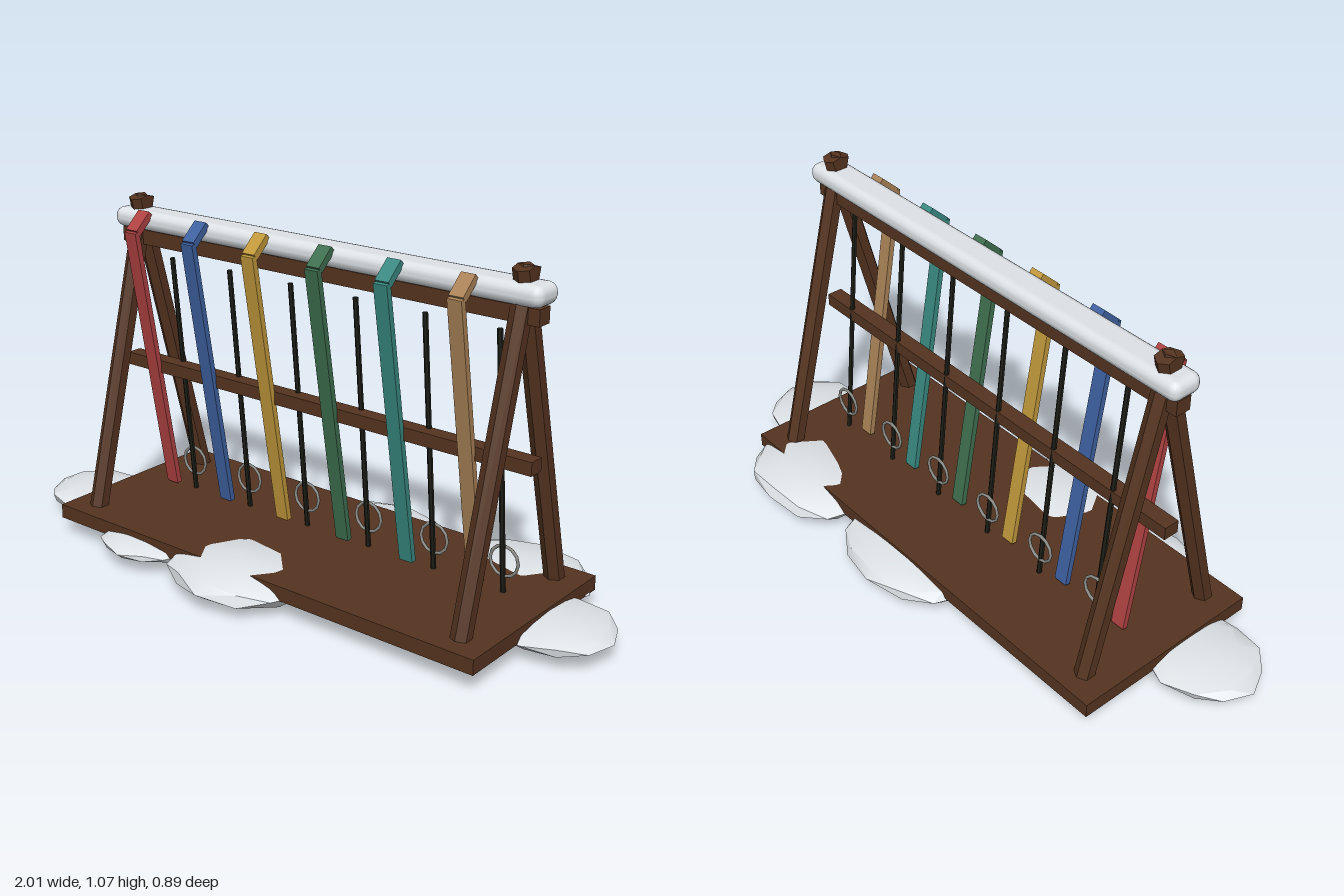
import * as THREE from 'three';
import { toCreasedNormals } from 'three/addons/utils/BufferGeometryUtils.js';
import { RoundedBoxGeometry } from 'three/addons/geometries/RoundedBoxGeometry.js';

const material = (name, color) => {
  const m = new THREE.MeshStandardMaterial({ color });
  m.name = name;
  return m;
};

export function createModel() {
  const group = new THREE.Group();
  const wood = material('dark wood', 0x553420);
  const snow = material('snow', 0xe6ebef);
  const poleBlack = material('pole black', 0x1e1e18);
  const basketGrey = material('basket grey', 0x8c8c88);
  const skiColours = [
    material('red', 0xb04242), material('blue', 0x3f62a2), material('yellow', 0xc39a3c),
    material('green', 0x3f7050), material('teal', 0x3a8a82), material('tan', 0xab8358),
  ];

  const add = (name, geometry, mat, x = 0, y = 0, z = 0) => {
    const mesh = new THREE.Mesh(geometry, mat);
    mesh.name = name;
    mesh.position.set(x, y, z);
    group.add(mesh);
    return mesh;
  };
  // places a y-aligned part between two points of the yz plane
  const span = (name, make, mat, x, [z0, y0], [z1, y1]) => {
    const length = Math.hypot(z1 - z0, y1 - y0);
    const mesh = add(name, make(length), mat, x, (y0 + y1) / 2, (z0 + z1) / 2);
    mesh.rotation.x = Math.atan2(z1 - z0, y1 - y0);
    return mesh;
  };
  const rod = (r, sides) => (length) =>
    toCreasedNormals(new THREE.CylinderGeometry(r, r, length, sides), 0.5);

  // base board and the two rails
  add('base', new THREE.BoxGeometry(1.565, 0.045, 0.63), wood, 0.018, 0.0825, 0.004);
  add('topRail', new THREE.BoxGeometry(1.505, 0.046, 0.05), wood, 0.018, 0.94, 0.004);
  add('middleRail', new THREE.BoxGeometry(1.505, 0.04, 0.05), wood, 0.018, 0.53, 0.004);

  // crossed legs at both ends
  for (const x of [-0.674, 0.71]) {
    for (const s of [1, -1]) {
      span('leg', rod(0.03, 6), wood, x, [0.004 + s * 0.238, 0.1], [0.004 - s * 0.014, 1.063]);
    }
  }

  // snow lying along the top rail
  add('railSnow', new RoundedBoxGeometry(1.535, 0.062, 0.105, 2, 0.028), snow, 0.018, 0.996, 0.004);

  // skis with bent tips, each beside a pole with a ring basket
  skiColours.forEach((mat, i) => {
    const x = -0.611 + i * 0.2364;
    const plank = (thickness) => (length) => new THREE.BoxGeometry(0.046, length, thickness);
    span('ski', plank(0.018), mat, x, [-0.037, 0.115], [0.111, 0.975]);
    span('skiTip', plank(0.022), mat, x, [0.105, 0.973], [0.05, 1.024]);
    const poleX = -0.532 + i * 0.2364;
    span('pole', rod(0.008, 6), poleBlack, poleX, [-0.057, 0.1], [0.02, 0.89]);
    add('basket', new THREE.TorusGeometry(0.046, 0.005, 6, 12), basketGrey, poleX, 0.2, -0.055);
  });

  // flattened, slightly uneven snow mounds around the base: centre, then radii
  const mounds = [
    [-0.81, 0.06, 0.095, 0.19, 0.038, 0.16],
    [0.81, 0.06, -0.055, 0.19, 0.038, 0.168],
    [-0.06, 0.061, 0.245, 0.235, 0.056, 0.195],
    [-0.425, 0.06, 0.28, 0.16, 0.029, 0.12],
    [0.36, 0.06, 0.12, 0.14, 0.03, 0.12],
    [0.56, 0.061, -0.27, 0.24, 0.053, 0.18],
    [0.06, 0.055, -0.255, 0.26, 0.046, 0.18],
  ];
  mounds.forEach(([x, y, z, rx, ry, rz], i) => {
    const geometry = new THREE.IcosahedronGeometry(1, 1);
    const p = geometry.attributes.position;
    const v = new THREE.Vector3();
    for (let k = 0; k < p.count; k++) {
      v.fromBufferAttribute(p, k);
      const wobble = 1 + 0.04 * Math.sin(5 * v.x + 3 * v.y + 4 * v.z + i * 1.7);
      p.setXYZ(k, v.x * wobble * rx, v.y * wobble * ry, v.z * wobble * rz);
    }
    add('snowMound', toCreasedNormals(geometry, 0.4), snow, x, y, z);
  });

  return group;
}
